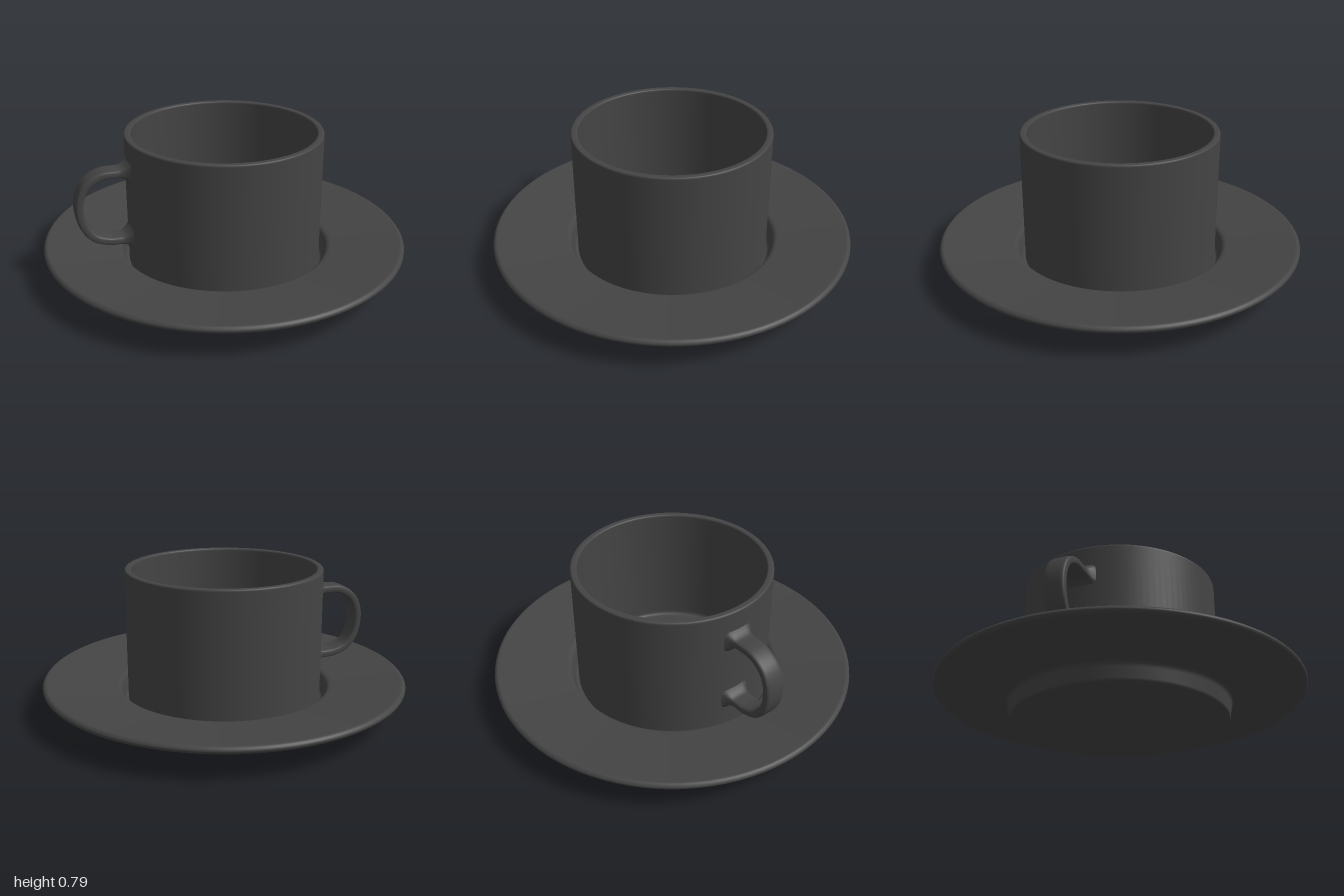
import * as THREE from 'three';

const material = new THREE.MeshStandardMaterial({ color: 0x444444 });

// Lathe a profile of [radius, y, cornerRounding] points, with short lead-ins to each rounded corner.
function turned(name, corners) {
  const pts = [];
  corners.forEach(([x, y, r = 0], i) => {
    const p = new THREE.Vector2(x, y);
    if (!r) return pts.push(p);
    const prev = new THREE.Vector2(...corners[i - 1].slice(0, 2)).sub(p).normalize();
    const next = new THREE.Vector2(...corners[i + 1].slice(0, 2)).sub(p).normalize();
    const at = (dir, d) => p.clone().addScaledVector(dir, d);
    const curve = new THREE.QuadraticBezierCurve(at(prev, r), p, at(next, r));
    pts.push(at(prev, r * 1.15), ...curve.getPoints(6), at(next, r * 1.15));
  });
  const mesh = new THREE.Mesh(new THREE.LatheGeometry(pts, 96), material);
  mesh.name = name;
  return mesh;
}

// Flat strap swept along a D-shaped path, flaring where it meets the cup wall.
function makeHandle() {
  const path = new THREE.CatmullRomCurve3([
    [-0.52, 0.62], [-0.6, 0.621], [-0.68, 0.617], [-0.755, 0.575], [-0.795, 0.505], [-0.803, 0.43],
    [-0.785, 0.345], [-0.735, 0.276], [-0.66, 0.245], [-0.6, 0.24], [-0.52, 0.24],
  ].map(([x, y]) => new THREE.Vector3(x, y, 0)));
  const rings = 96, sides = 24;
  const pos = [], index = [];
  const bulge = (v) => Math.sign(v) * Math.sqrt(Math.abs(v));
  for (let i = 0; i <= rings; i++) {
    const u = i / rings;
    const p = path.getPointAt(u), t = path.getTangentAt(u);
    const flare = 0.055 * Math.max(0, 1 - (-0.52 - p.x) / 0.07) ** 2;
    for (let j = 0; j < sides; j++) {
      const a = (j / sides) * Math.PI * 2;
      const n = bulge(Math.cos(a)) * (0.023 + flare);
      const z = bulge(Math.sin(a)) * (0.057 + flare * 0.7);
      pos.push(p.x + t.y * n, p.y - t.x * n, z);
      if (i === rings) continue;
      const k = i * sides + j, k2 = i * sides + ((j + 1) % sides);
      index.push(k, k + sides, k2, k + sides, k2 + sides, k2);
    }
  }
  const geo = new THREE.BufferGeometry();
  geo.setAttribute('position', new THREE.Float32BufferAttribute(pos, 3));
  geo.setIndex(index);
  geo.computeVertexNormals();
  const mesh = new THREE.Mesh(geo, material);
  mesh.name = 'handle';
  mesh.rotation.y = -0.055;
  return mesh;
}

export function createModel() {
  const group = new THREE.Group();
  group.name = 'cupAndSaucer';

  // Saucer: flat foot, sloping rim, recessed well for the cup
  group.add(turned('saucer', [
    [0, 0.005], [0.55, 0.005, 0.01], [0.56, 0], [0.585, 0, 0.015], [0.6, 0.1, 0.025],
    [0.99, 0.146, 0.012], [1, 0.166, 0.009], [0.985, 0.185, 0.012],
    [0.575, 0.135, 0.025], [0.55, 0.045, 0.02], [0, 0.045],
  ]));

  // Cup: straight wall, rounded lip, flat inner floor
  const cup = new THREE.Group();
  cup.name = 'cup';
  cup.add(turned('cupBody', [
    [0, 0.047], [0.535, 0.047, 0.02], [0.535, 0.79, 0.012], [0.498, 0.79, 0.012],
    [0.496, 0.09, 0.025], [0, 0.09],
  ]));
  cup.add(makeHandle());
  group.add(cup);

  return group;
}
